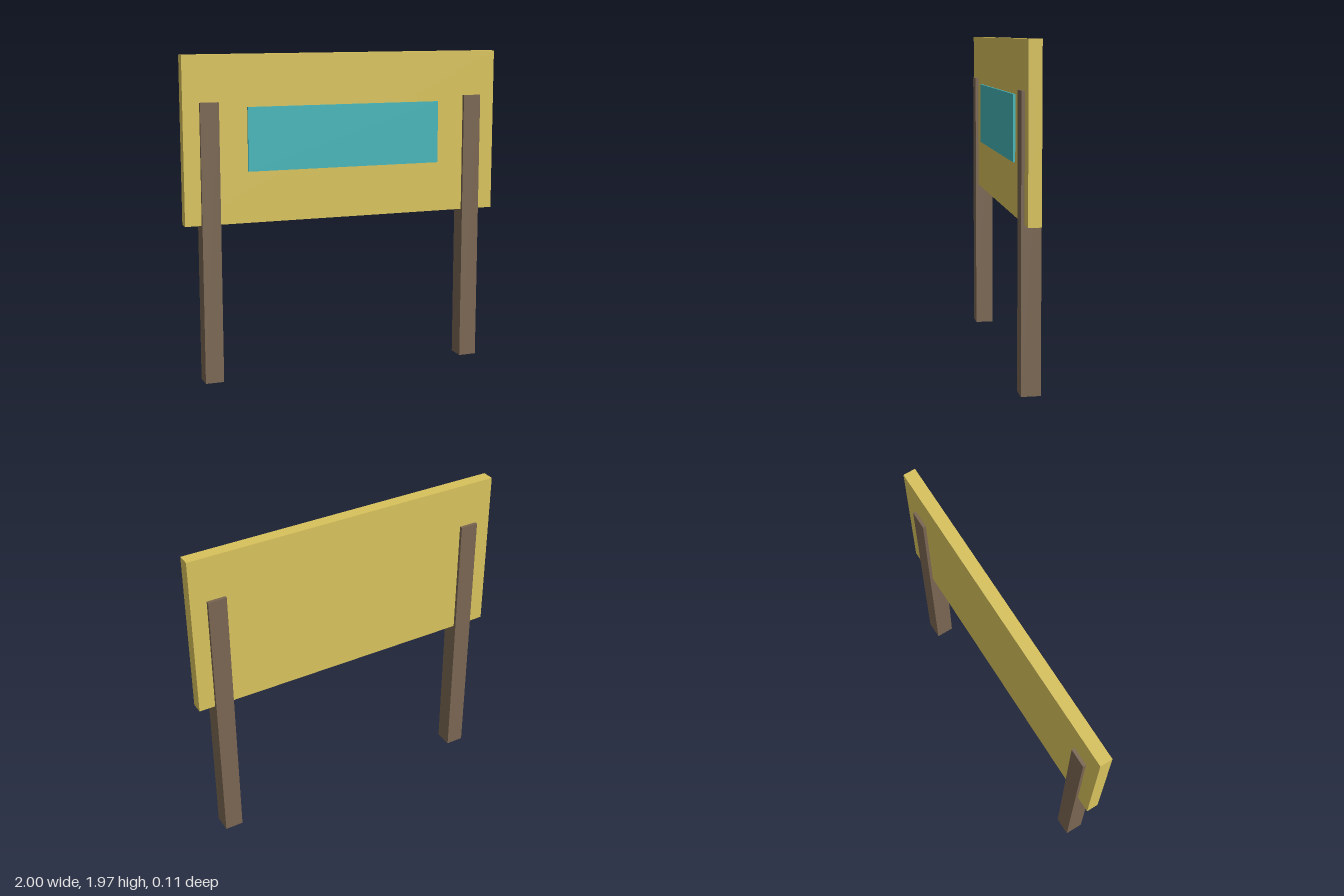
import * as THREE from 'three';

export function createModel() {
  const group = new THREE.Group();

  // Box placed by its bottom centre
  const addBox = (name, color, [w, h, d], [x, y, z]) => {
    const mesh = new THREE.Mesh(
      new THREE.BoxGeometry(w, h, d),
      new THREE.MeshStandardMaterial({ color })
    );
    mesh.name = name;
    mesh.position.set(x, y + h / 2, z);
    group.add(mesh);
  };

  // Sign board
  addBox('board', 0xd8c25c, [2, 1, 0.075], [0, 0.965, 0]);

  // Inset panel, slightly proud of the board's front
  addBox('frontPanel', 0x45b5b8, [1.226, 0.382, 0.025], [0, 1.275, 0.0375]);

  // Posts passing through the board
  for (const side of [-1, 1]) {
    addBox(side > 0 ? 'leftPost' : 'rightPost', 0x7a6652, [0.113, 1.69, 0.113], [side * 0.844, 0, 0]);
  }

  return group;
}
